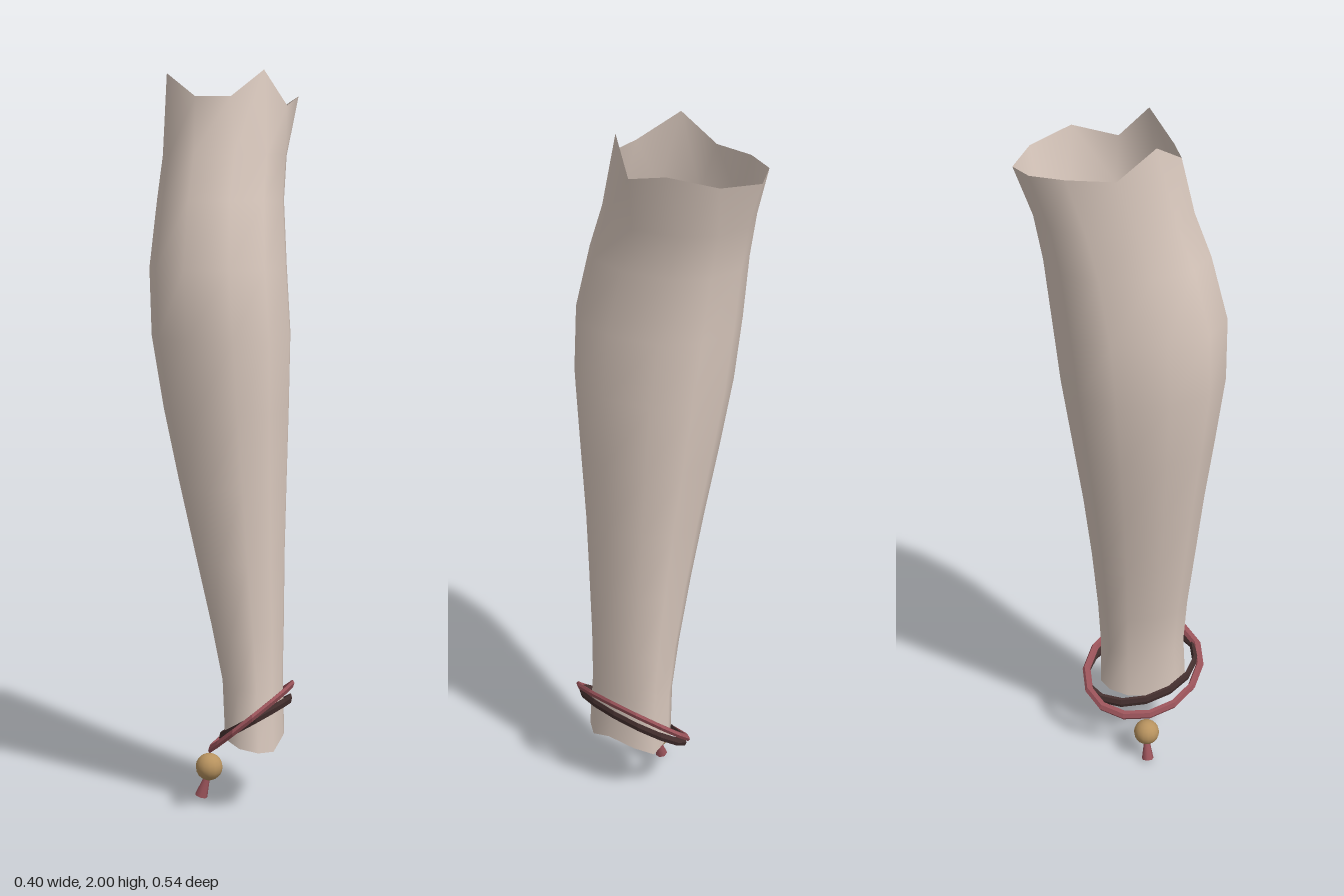
import * as THREE from 'three';

const skin = new THREE.MeshStandardMaterial({ color: 0xdbcabf, name: 'skin', side: THREE.DoubleSide });
const red = new THREE.MeshStandardMaterial({ color: 0x9c545b, name: 'red cord' });
const dark = new THREE.MeshStandardMaterial({ color: 0x45302f, name: 'dark cord' });
const wood = new THREE.MeshStandardMaterial({ color: 0xb8935f, name: 'wood bead' });

const SIDES = 11;

// Cross-sections of the limb: y, xMin, xMax, zMin, zMax
const SECTIONS = [
  [0.35, 0.0, 0.165, -0.045, 0.2],
  [0.5, -0.03, 0.168, -0.055, 0.205],
  [0.7, -0.075, 0.17, -0.075, 0.22],
  [0.9, -0.12, 0.175, -0.1, 0.235],
  [1.1, -0.162, 0.18, -0.13, 0.255],
  [1.3, -0.195, 0.183, -0.16, 0.275],
  [1.48, -0.202, 0.17, -0.18, 0.272],
  [1.66, -0.187, 0.157, -0.2, 0.225],
  [1.78, -0.177, 0.16, -0.222, 0.18],
];

// Jagged upper rim: x, y, z, starting at the front and turning to the left side
const TOP_RIM = [
  [0.03, 1.93, 0.14], [0.11, 2.0, 0.09], [0.163, 1.91, 0.02], [0.18, 1.94, -0.1],
  [0.12, 1.915, -0.215], [0.01, 1.905, -0.272], [-0.08, 1.915, -0.242], [-0.135, 1.92, -0.16],
  [-0.168, 1.92, -0.04], [-0.155, 1.995, 0.06], [-0.065, 1.93, 0.14],
];
const BOTTOM_Y = [0.18, 0.175, 0.2, 0.185, 0.165, 0.2, 0.2, 0.19, 0.185, 0.2, 0.19];

function sectionPoint([y, x0, x1, z0, z1], i) {
  const a = ((i + 0.5) / SIDES) * Math.PI * 2;
  const soft = (v) => Math.sign(v) * Math.pow(Math.abs(v), 0.9);
  return [
    (x0 + x1) / 2 + (soft(Math.sin(a)) * (x1 - x0)) / 2,
    y,
    (z0 + z1) / 2 + (soft(Math.cos(a)) * 1.02 * (z1 - z0)) / 2,
  ];
}

// Open tube through all the rings, from the lower rim to the upper one
function limbGeometry() {
  const rings = [
    BOTTOM_Y.map((y, i) => sectionPoint([y, 0.008, 0.17, -0.045, 0.21], i)),
    ...SECTIONS.map((s) => BOTTOM_Y.map((_, i) => sectionPoint(s, i))),
    TOP_RIM,
  ];
  const index = [];
  for (let j = 0; j < rings.length - 1; j++) {
    for (let i = 0; i < SIDES; i++) {
      const n = (i + 1) % SIDES;
      const a = j * SIDES + i, b = j * SIDES + n;
      index.push(a, b, b + SIDES, a, b + SIDES, a + SIDES);
    }
  }
  const g = new THREE.BufferGeometry();
  g.setAttribute('position', new THREE.Float32BufferAttribute(rings.flat(2), 3));
  g.setIndex(index);
  g.computeVertexNormals();
  return g;
}

// Faceted oval ring, sheared so that it hangs at a slant
function slantedRing(rx, rz, tube, flatten, slopeX, slopeZ) {
  const g = new THREE.TorusGeometry(1, tube / rz, 6, 14).rotateX(Math.PI / 2);
  g.scale(rx, rz * flatten, rz);
  g.applyMatrix4(new THREE.Matrix4().set(
    1, 0, 0, 0,
    slopeX, 1, slopeZ, 0,
    0, 0, 1, 0,
    0, 0, 0, 1));
  const flat = g.toNonIndexed();
  flat.computeVertexNormals();
  return flat;
}

export function createModel() {
  const group = new THREE.Group();
  const add = (name, geometry, material, x = 0, y = 0, z = 0) => {
    const mesh = new THREE.Mesh(geometry, material);
    mesh.name = name;
    mesh.position.set(x, y, z);
    group.add(mesh);
    return mesh;
  };

  add('limb', limbGeometry(), skin);

  // Two slanted bands around the narrow end
  add('redBand', slantedRing(0.112, 0.174, 0.012, 1, 0.84, 0.15), red, 0.078, 0.244, 0.08);
  add('darkBand', slantedRing(0.095, 0.168, 0.01, 1.5, 0.6, 0.2), dark, 0.09, 0.24, 0.075);

  // Bead with a short tassel below
  add('bead', new THREE.SphereGeometry(0.038, 14, 10), wood, -0.042, 0.09, 0.07);
  const tassel = add('tassel', new THREE.CylinderGeometry(0.008, 0.018, 0.06, 7), red, -0.056, 0.033, 0.07);
  tassel.rotation.z = -0.3;

  return group;
}
